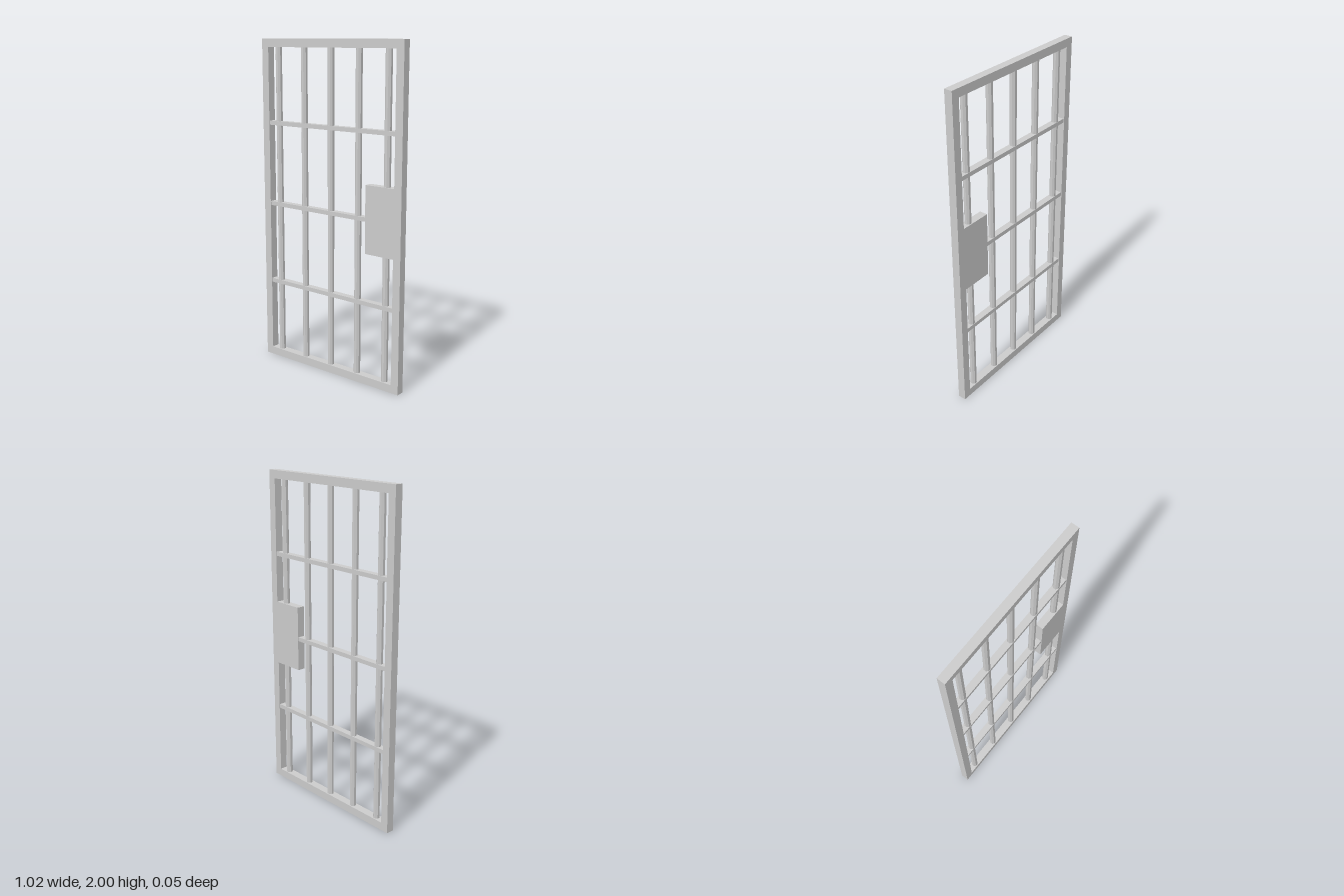
import * as THREE from 'three';

const W = 1.024, H = 2, D = 0.049, RAIL = 0.049;

export function createModel() {
  const door = new THREE.Group();
  door.name = 'barredDoor';
  const metal = new THREE.MeshStandardMaterial({ color: 0xcccccc, flatShading: true });

  const add = (name, geometry, x = 0, y = 0, z = 0) => {
    const mesh = new THREE.Mesh(geometry, metal);
    mesh.name = name;
    mesh.position.set(x, y, z);
    door.add(mesh);
  };

  // Outer frame: one rectangle with a rectangular opening
  const innerX = W / 2 - RAIL;
  const outline = new THREE.Shape([
    new THREE.Vector2(-W / 2, 0), new THREE.Vector2(W / 2, 0),
    new THREE.Vector2(W / 2, H), new THREE.Vector2(-W / 2, H),
  ]);
  outline.holes.push(new THREE.Path([
    new THREE.Vector2(-innerX, RAIL), new THREE.Vector2(-innerX, H - RAIL),
    new THREE.Vector2(innerX, H - RAIL), new THREE.Vector2(innerX, RAIL),
  ]));
  add('frame', new THREE.ExtrudeGeometry(outline, { depth: D, bevelEnabled: false }), 0, 0, -D / 2);

  // Upright bars: octagonal, one flat facing the front
  const bar = new THREE.CylinderGeometry(0.02, 0.02, H - 2 * RAIL, 8, 1, true).rotateY(Math.PI / 8);
  for (let i = -2; i <= 2; i++) add('uprightBar', bar, i * 0.2, H / 2);

  // Flat crossbars
  const crossbar = new THREE.BoxGeometry(2 * innerX, 0.025, 0.041);
  for (const y of [0.5, 1, 1.5]) add('crossbar', crossbar, 0, y);

  // Lock plate, flush with the frame on the model's left
  const plateX = 0.268;
  add('lockPlate', new THREE.BoxGeometry(innerX - plateX, 0.4, D), (innerX + plateX) / 2, 1);

  return door;
}
